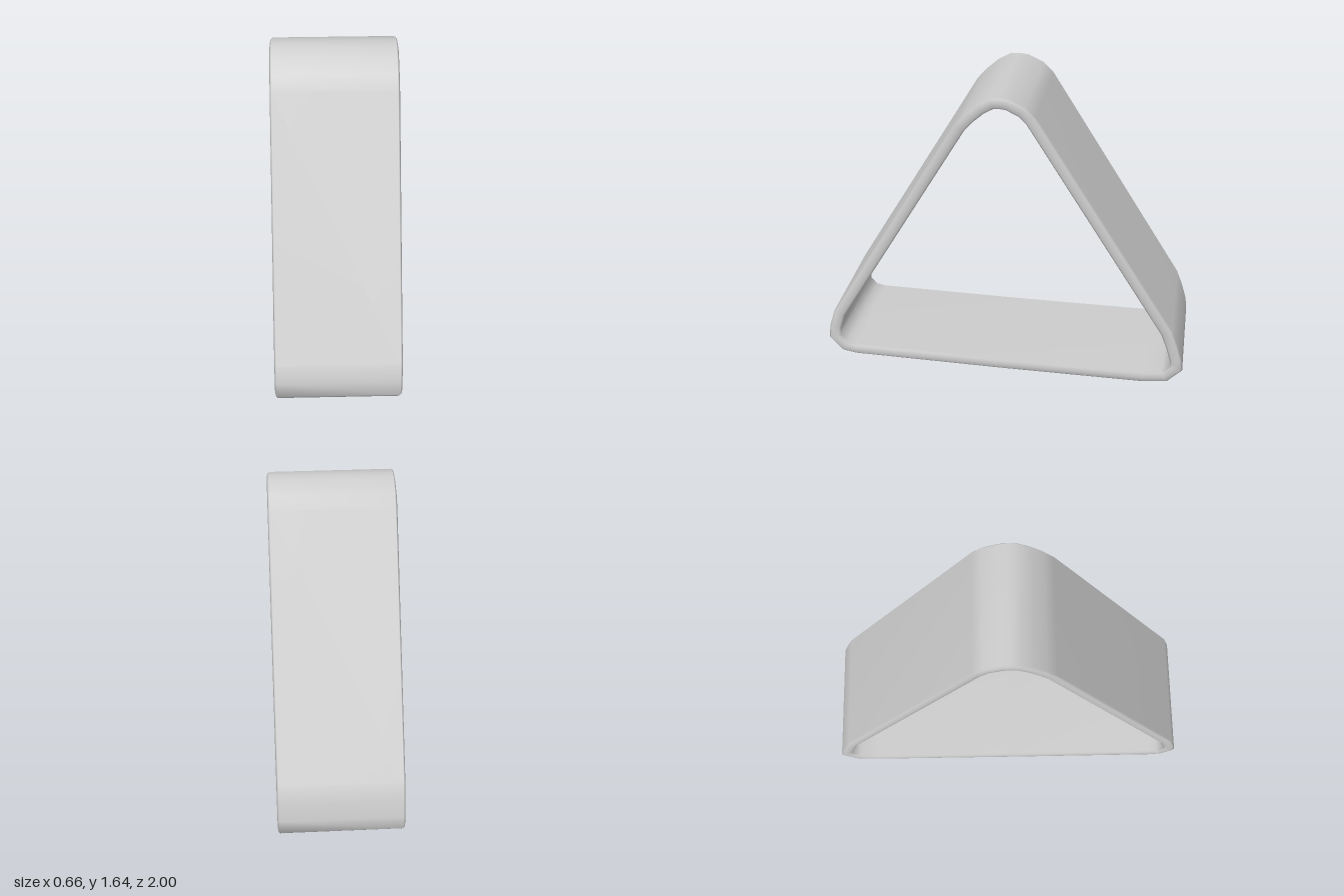
import * as THREE from 'three';

// Outer outline of the band as [z, y], running over the top from front to back
const OUTLINE = [
  [0.85, 0.005], [0.93, 0.02], [1, 0.1], [0.99, 0.18], [0.96, 0.28],
  [0.243, 1.48], [0.19, 1.54], [0.125, 1.598], [0.06, 1.635], [0.01, 1.64], [-0.04, 1.635],
  [-0.125, 1.595], [-0.18, 1.54], [-0.93, 0.35], [-0.965, 0.26], [-0.992, 0.17],
  [-1, 0.1], [-0.92, 0.02], [-0.79, 0.003], [0, 0],
];

// Band cross-section as [x, depth inward], with softly rounded rims
const T = 0.064;
const HALF = [[0.32, 0], [0.328, 0.01], [0.332, T / 2], [0.328, T - 0.01], [0.32, T]];
const SECTION = [...HALF, ...HALF.map(([x, d]) => [-x, d]).reverse()];

// Mitred inward direction at outline point i
function inward(i) {
  const n = OUTLINE.length;
  const at = (k) => new THREE.Vector2(...OUTLINE[(k + n) % n]);
  const normal = (a, b) => {
    const e = b.sub(a).normalize();
    return new THREE.Vector2(-e.y, e.x);
  };
  const n1 = normal(at(i - 1), at(i));
  const n2 = normal(at(i), at(i + 1));
  const m = n1.clone().add(n2).normalize();
  return m.divideScalar(Math.max(m.dot(n1), 0.7));
}

// Sweeps the section around the closed outline
function bandGeometry() {
  const n = OUTLINE.length, s = SECTION.length;
  const positions = [], index = [];
  OUTLINE.forEach(([z, y], i) => {
    const m = inward(i);
    for (const [x, d] of SECTION) positions.push(x, y + m.y * d, z + m.x * d);
  });
  for (let i = 0; i < n; i++) {
    for (let j = 0; j < s; j++) {
      const a = i * s + j, b = i * s + (j + 1) % s;
      const c = ((i + 1) % n) * s + j, d = ((i + 1) % n) * s + (j + 1) % s;
      index.push(a, c, b, b, c, d);
    }
  }
  const g = new THREE.BufferGeometry();
  g.setAttribute('position', new THREE.Float32BufferAttribute(positions, 3));
  g.setIndex(index);
  g.computeVertexNormals();
  return g;
}

export function createModel() {
  const group = new THREE.Group();
  group.name = 'triangularBandStand';
  const material = new THREE.MeshStandardMaterial({ color: 0xcccccc, side: THREE.DoubleSide });
  const band = new THREE.Mesh(bandGeometry(), material);
  band.name = 'band';
  group.add(band);
  return group;
}
